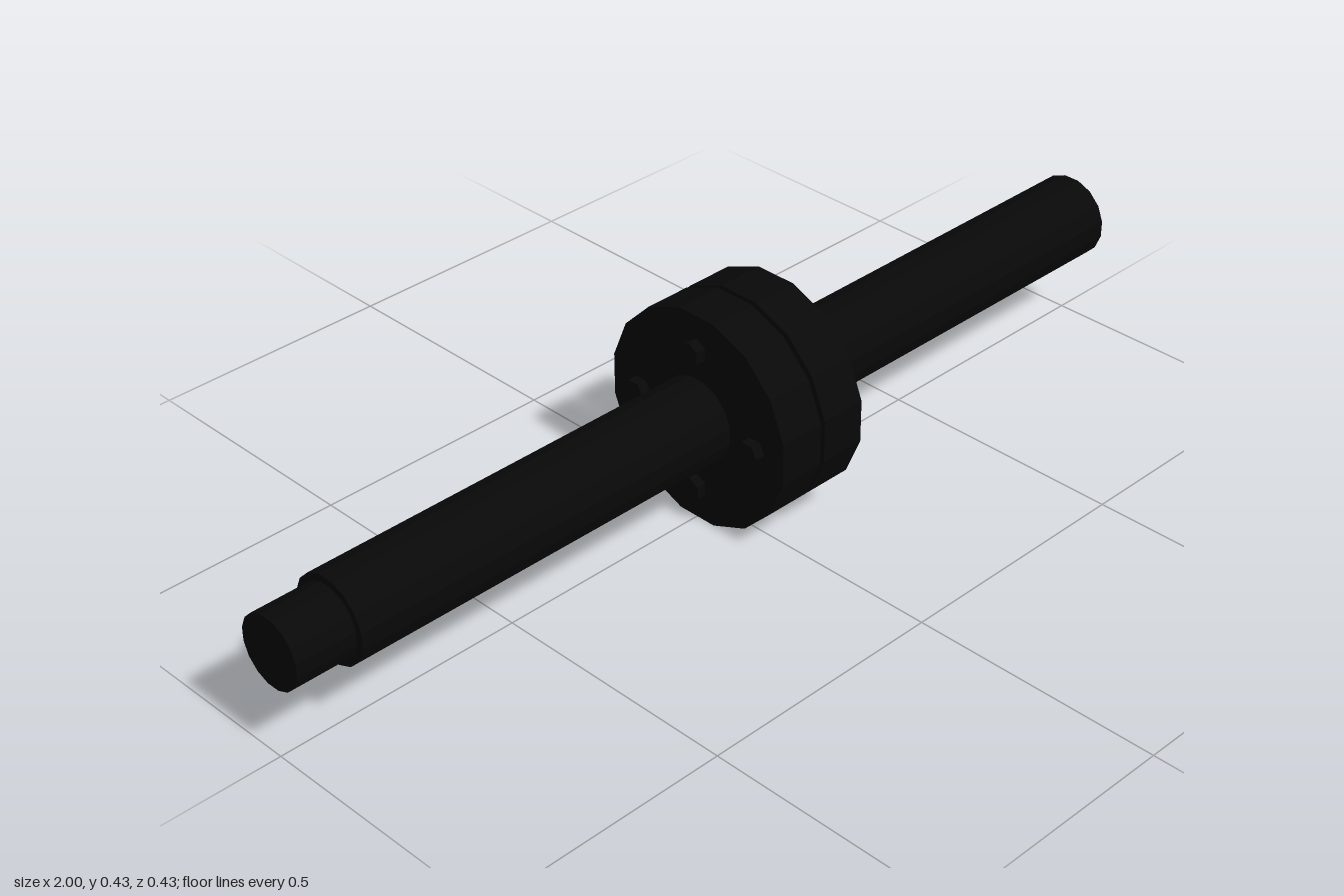
import * as THREE from 'three';

export function createModel() {
  const model = new THREE.Group();
  model.name = 'flangedPipe';
  const black = new THREE.MeshStandardMaterial({ color: 0x080808, flatShading: true });
  black.name = 'black';

  const SIDES = 16;
  const AXIS_Y = 0.213;

  // Prism lying along x, from x0 to x1, centred at (y, z); turn rotates it about its own axis
  function rod(name, x0, x1, radius, sides, turn = 0, y = 0, z = 0) {
    const geometry = new THREE.CylinderGeometry(radius, radius, x1 - x0, sides);
    geometry.rotateY(turn);
    geometry.rotateZ(-Math.PI / 2);
    const mesh = new THREE.Mesh(geometry, black);
    mesh.name = name;
    mesh.position.set((x0 + x1) / 2, AXIS_Y + y, z);
    model.add(mesh);
  }

  const flat = Math.PI / SIDES; // puts a flat face at the top and bottom

  // Pipe with a narrower spigot at one end
  rod('pipe', -0.88, 1, 0.0845, SIDES, flat);
  rod('spigot', -1, -0.88, 0.0705, SIDES, flat);

  // Two flanges with a recessed gasket between them
  rod('flangeRight', -0.05, 0.045, 0.217, SIDES, flat);
  rod('flangeLeft', 0.055, 0.15, 0.217, SIDES, flat);
  rod('gasket', 0.045, 0.055, 0.14, SIDES, flat);

  // Four hexagonal bolts, a corner pointing outward on each
  for (let i = 0; i < 4; i++) {
    const a = (i * Math.PI) / 2;
    rod('bolt' + (i + 1), -0.07, 0.175, 0.024, 6, a, 0.143 * Math.sin(a), 0.143 * Math.cos(a));
  }

  return model;
}
